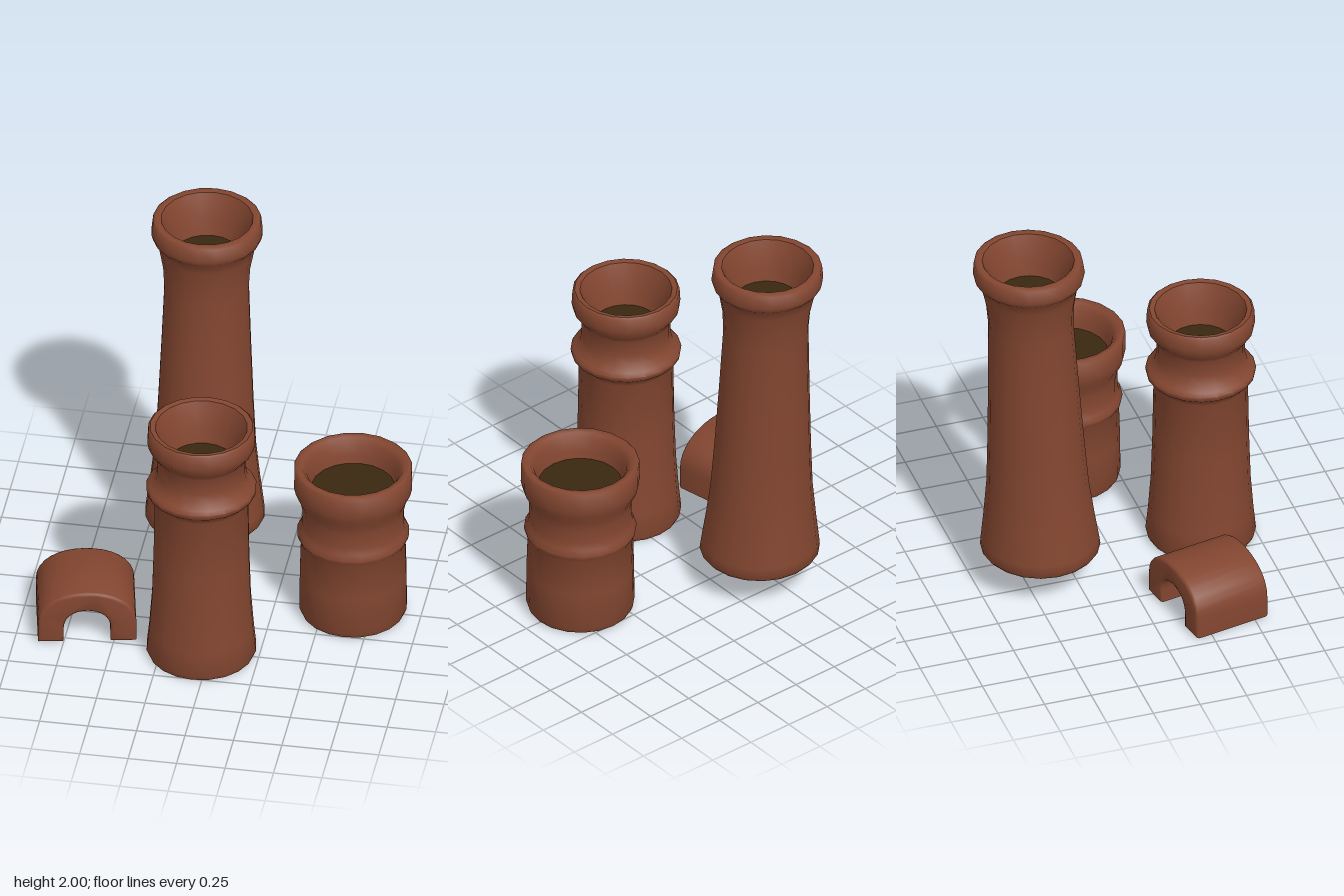
import * as THREE from 'three';
import { toCreasedNormals } from 'three/addons/utils/BufferGeometryUtils.js';

const clay = new THREE.MeshStandardMaterial({ color: 0x834630 });
clay.name = 'terracotta';
const soot = new THREE.MeshStandardMaterial({ color: 0x3a2810 });
soot.name = 'dark soot';

function add(parent, name, geometry, material, x = 0, y = 0, z = 0) {
  const mesh = new THREE.Mesh(geometry, material);
  mesh.name = name;
  mesh.position.set(x, y, z);
  parent.add(mesh);
  return mesh;
}

// Hollow pot: lathed wall (outside, over the rim, down the throat) and dark discs.
// lean shifts the wall along z in proportion to its height.
function makePot(name, x, z, profile, floor, lean = 0) {
  const pot = new THREE.Group();
  pot.name = name;
  const [baseRadius, baseY] = profile[0];
  const [floorRadius, floorY] = floor;
  const wall = new THREE.LatheGeometry(profile.map(([r, y]) => new THREE.Vector2(r, y)), 20);
  const p = wall.attributes.position;
  for (let i = 0; i < p.count; i++) p.setZ(i, p.getZ(i) + lean * (p.getY(i) - baseY));
  add(pot, 'potWall', toCreasedNormals(wall, 0.9), clay);
  add(pot, 'sootyFloor', new THREE.CircleGeometry(floorRadius, 20).rotateX(-Math.PI / 2),
    soot, 0, floorY, lean * (floorY - baseY));
  add(pot, 'base', new THREE.CircleGeometry(baseRadius, 20).rotateX(Math.PI / 2), soot, 0, baseY, 0);
  pot.position.set(x, 0, z);
  return pot;
}

// Half of an arch outline, as a rounded curve from one foot to the other
function archCurve(path, w, h, sign) {
  const s = sign * w;
  path.lineTo(s, h * 0.4);
  path.bezierCurveTo(s, h * 0.78, s * 0.55, h, 0, h);
  path.bezierCurveTo(-s * 0.55, h, -s, h * 0.78, -s, h * 0.4);
  path.lineTo(-s, 0);
}

function archGeometry(outerW, outerH, innerW, innerH, length, bevel) {
  const shape = new THREE.Shape();
  shape.moveTo(outerW, 0);
  archCurve(shape, outerW, outerH, 1);
  shape.lineTo(-innerW, 0);
  archCurve(shape, innerW, innerH, -1);
  shape.closePath();
  const geometry = new THREE.ExtrudeGeometry(shape, {
    depth: length - 2 * bevel, curveSegments: 8, bevelEnabled: bevel > 0,
    bevelSize: bevel, bevelThickness: bevel, bevelOffset: -bevel, bevelSegments: 2,
  });
  geometry.translate(0, 0, bevel - length / 2);
  return toCreasedNormals(geometry, 0.8);
}

export function createModel() {
  const model = new THREE.Group();
  model.name = 'chimneyPots';

  // Tall tapered pot, standing higher than the others
  model.add(makePot('tallPot', -0.187, -0.42, [
    [0.29, 0.205], [0.306, 0.225], [0.3, 0.28], [0.282, 0.42], [0.26, 0.62], [0.245, 0.9],
    [0.23, 1.25], [0.217, 1.6], [0.224, 1.72], [0.243, 1.82], [0.255, 1.87], [0.278, 1.895],
    [0.285, 1.92], [0.277, 1.99], [0.265, 2.0], [0.235, 1.995], [0.215, 1.95], [0.185, 1.86], [0.165, 1.76],
  ], [0.168, 1.78], -0.036));

  // Medium pot with a raised collar
  model.add(makePot('mediumPot', -0.048, 0.485, [
    [0.27, 0.005], [0.281, 0.03], [0.268, 0.16], [0.254, 0.35], [0.246, 0.6], [0.24, 0.95],
    [0.25, 0.975], [0.278, 1.0], [0.282, 1.025], [0.265, 1.045], [0.238, 1.07], [0.226, 1.12],
    [0.225, 1.21], [0.24, 1.235], [0.27, 1.275], [0.277, 1.31], [0.273, 1.38], [0.262, 1.39],
    [0.235, 1.385], [0.215, 1.34], [0.185, 1.25], [0.165, 1.15],
  ], [0.168, 1.17]));

  // Short wide pot with a raised collar
  model.add(makePot('shortPot', 0.65, -0.004, [
    [0.265, 0.012], [0.276, 0.04], [0.274, 0.25], [0.268, 0.45], [0.283, 0.475], [0.287, 0.495],
    [0.27, 0.52], [0.26, 0.56], [0.26, 0.64], [0.27, 0.69], [0.294, 0.74], [0.303, 0.78],
    [0.302, 0.885], [0.29, 0.896], [0.26, 0.892], [0.238, 0.86], [0.222, 0.8], [0.212, 0.74],
  ], [0.214, 0.76]));

  // Ridge tile: an arch lying open side down, with a dark underside
  const tile = new THREE.Group();
  tile.name = 'ridgeTile';
  add(tile, 'tileArch', archGeometry(0.25, 0.295, 0.12, 0.185, 0.42, 0.015), clay);
  add(tile, 'tileUnderside', archGeometry(0.142, 0.205, 0.125, 0.188, 0.4, 0), soot);
  for (const side of [-1, 1]) {
    add(tile, 'tileFoot', new THREE.BoxGeometry(0.11, 0.006, 0.4), soot, side * 0.187, 0.013, 0);
  }
  tile.position.set(-0.672, 0.012, 0.318);
  tile.rotation.y = 0.2;
  model.add(tile);

  return model;
}
